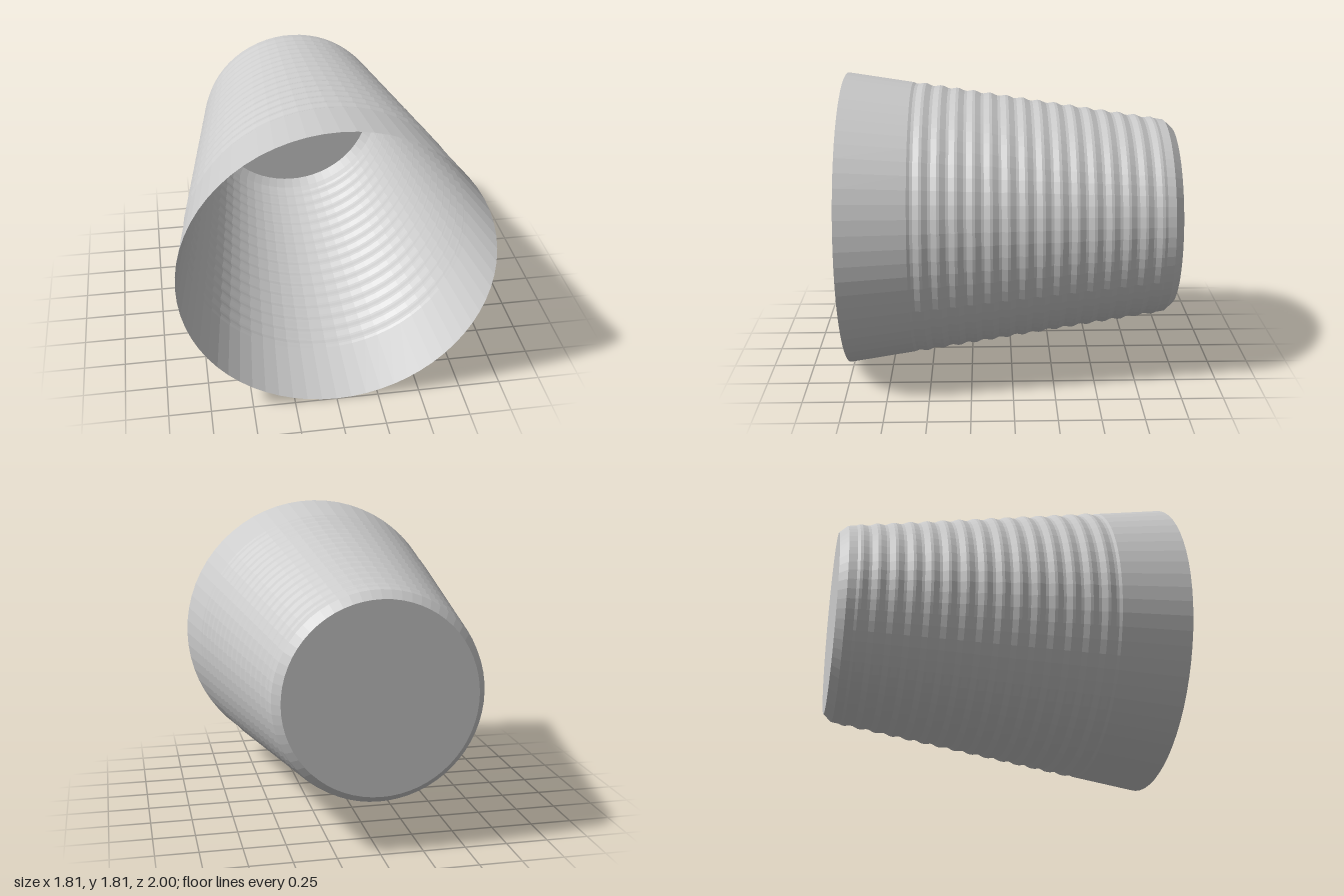
import * as THREE from 'three';

const RIM_RADIUS = 0.905, BASE_RADIUS = 0.605, CHAMFER_Z = -0.95;
const RIB_START = -0.9, RIB_COUNT = 15, RIB_PITCH = 0.1, RIB_HEIGHT = 0.006;
const SIDES = 64;

// Radius of the plain tapered wall at a given depth
function wallRadius(z) {
  return THREE.MathUtils.mapLinear(z, CHAMFER_Z, 1, BASE_RADIUS, RIM_RADIUS);
}

// Turn a profile of (radius, z) points about the z axis
function turned(name, points, material) {
  const geometry = new THREE.LatheGeometry(points, SIDES);
  geometry.rotateX(Math.PI / 2);
  const mesh = new THREE.Mesh(geometry, material);
  mesh.name = name;
  return mesh;
}

export function createModel() {
  const cup = new THREE.Group();
  cup.name = 'ribbedCup';
  const grey = new THREE.MeshStandardMaterial({
    name: 'plainGrey', color: 0xcccccc, side: THREE.DoubleSide, flatShading: true,
  });

  // Thin tapered wall with shallow rounded ribs, smooth near the open rim
  const wall = [new THREE.Vector2(BASE_RADIUS, CHAMFER_Z)];
  const steps = RIB_COUNT * 6;
  for (let i = 0; i <= steps; i++) {
    const t = i / 6;
    const z = RIB_START + t * RIB_PITCH;
    const bump = RIB_HEIGHT * Math.sin(t * Math.PI * 2);
    wall.push(new THREE.Vector2(wallRadius(z) + bump, z));
  }
  wall.push(new THREE.Vector2(RIM_RADIUS, 1));
  cup.add(turned('ribbedWall', wall, grey));

  // Chamfer between wall and base
  cup.add(turned('baseChamfer', [
    new THREE.Vector2(0.56, -1), new THREE.Vector2(BASE_RADIUS, CHAMFER_Z),
  ], grey));

  // Flat closed end
  const base = new THREE.Mesh(new THREE.CircleGeometry(0.56, SIDES), grey);
  base.name = 'base';
  base.position.z = -1;
  cup.add(base);

  // Lay the cup on its side, resting on the ground
  for (const part of cup.children) part.position.y = RIM_RADIUS;
  return cup;
}
